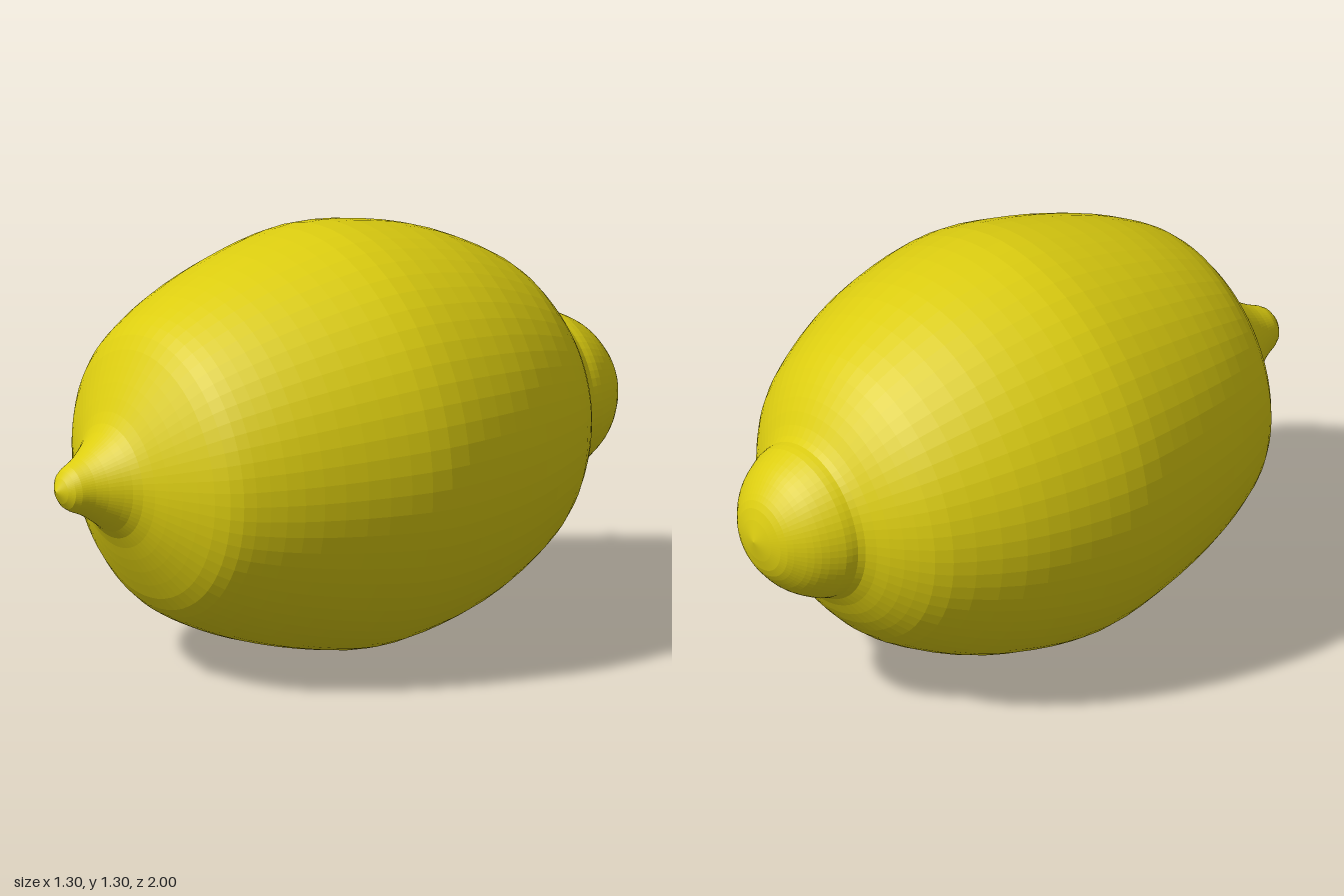
import * as THREE from 'three';

// Lemon: one lathed skin lying along z, turned slightly about the vertical axis
export function createModel() {
  const group = new THREE.Group();
  group.name = 'lemon';

  // [radius, position along the axis], from the stem knob to the pointed tip
  const profile = [
    [0, -1], [0.1, -0.975], [0.155, -0.94], [0.2, -0.895], [0.238, -0.83],
    [0.26, -0.775], [0.36, -0.705], [0.465, -0.6], [0.57, -0.4], [0.628, -0.2],
    [0.65, 0], [0.617, 0.2], [0.557, 0.4], [0.49, 0.55], [0.42, 0.65],
    [0.29, 0.735], [0.175, 0.8], [0.12, 0.86], [0.087, 0.91], [0.058, 0.965], [0, 1],
  ].map(([r, t]) => new THREE.Vector2(r, t));
  const points = new THREE.SplineCurve(profile).getPoints(60);
  points.forEach((p) => { p.x = Math.max(p.x, 0); });

  const skin = new THREE.Mesh(
    new THREE.LatheGeometry(points, 64).rotateX(Math.PI / 2),
    new THREE.MeshStandardMaterial({ color: 0xdccd10, flatShading: true }),
  );
  skin.name = 'lemonSkin';
  skin.position.y = 0.65;
  skin.rotation.y = -0.06;
  group.add(skin);
  return group;
}
